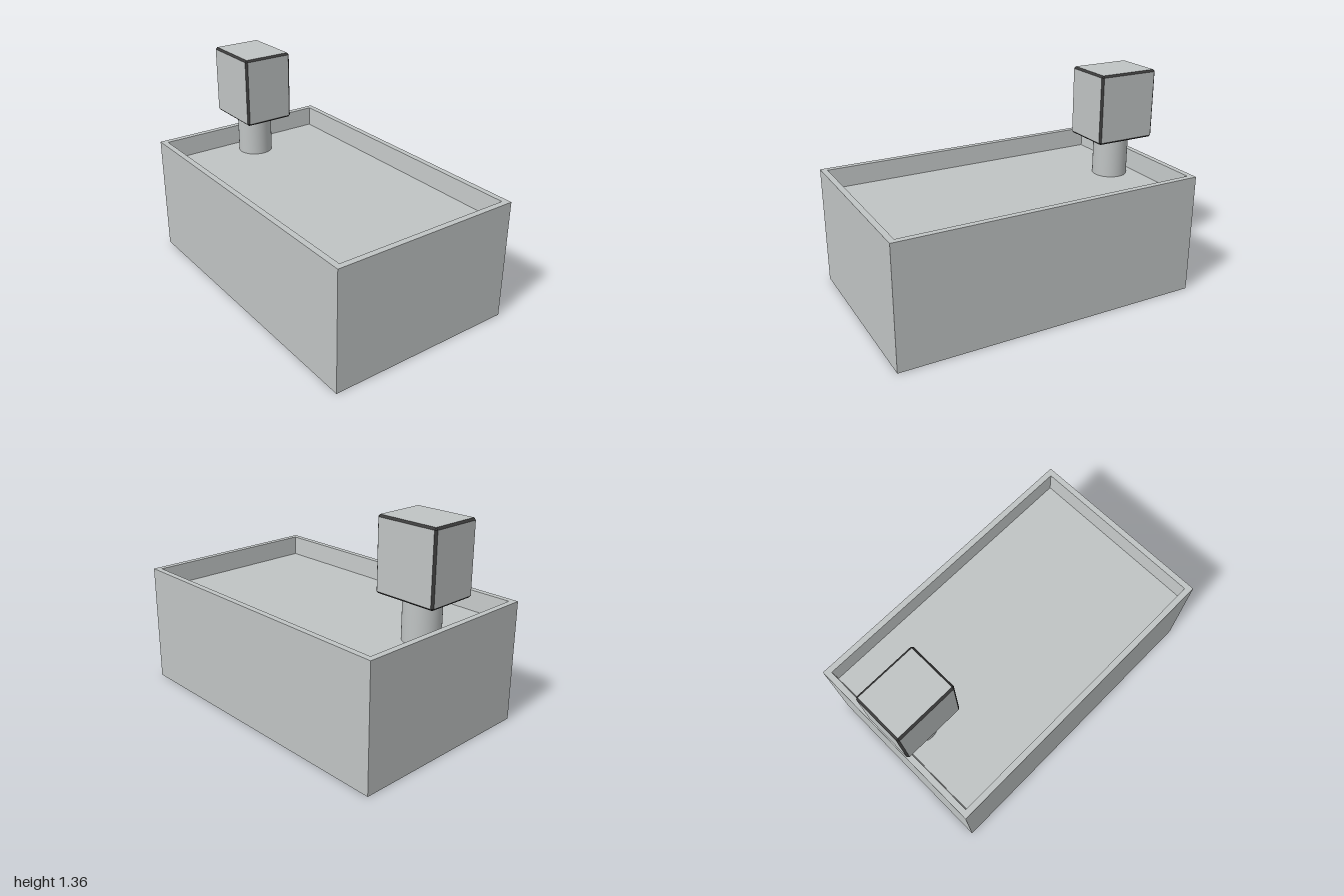
import * as THREE from 'three';
import { ConvexGeometry } from 'three/addons/geometries/ConvexGeometry.js';

// Faceted solid made by joining rectangular rings [halfX, y, halfZ], closed at both ends
function rectangularLoft(rings) {
  const corners = rings.map(([x, y, z]) => [[-x, y, z], [x, y, z], [x, y, -z], [-x, y, -z]]);
  const positions = [];
  const quad = (a, b, c, d) => positions.push(...a, ...b, ...c, ...a, ...c, ...d);
  for (let r = 0; r < rings.length - 1; r++) {
    for (let i = 0; i < 4; i++) {
      const j = (i + 1) % 4;
      quad(corners[r][i], corners[r][j], corners[r + 1][j], corners[r + 1][i]);
    }
  }
  quad(...corners[0].slice().reverse());
  quad(...corners[rings.length - 1]);
  const geometry = new THREE.BufferGeometry();
  geometry.setAttribute('position', new THREE.Float32BufferAttribute(positions, 3));
  geometry.computeVertexNormals();
  return geometry;
}

// Chamfered box: group 0 holds the six main faces, group 1 the chamfers
function chamferedBox(width, height, depth, chamfer) {
  const half = [width / 2, height / 2, depth / 2];
  const points = [];
  for (const sx of [-1, 1]) for (const sy of [-1, 1]) for (const sz of [-1, 1]) {
    for (let axis = 0; axis < 3; axis++) {
      const p = half.map((h, i) => (i === axis ? h : h - chamfer));
      points.push(new THREE.Vector3(p[0] * sx, p[1] * sy, p[2] * sz));
    }
  }
  const hull = new ConvexGeometry(points);
  const position = hull.getAttribute('position');
  const normal = hull.getAttribute('normal');
  const faces = [];
  const chamfers = [];
  for (let i = 0; i < position.count; i += 3) {
    const n = [normal.getX(i), normal.getY(i), normal.getZ(i)].map(Math.abs);
    (Math.max(...n) > 0.95 ? faces : chamfers).push(i, i + 1, i + 2);
  }
  hull.setIndex([...faces, ...chamfers]);
  hull.clearGroups();
  hull.addGroup(0, faces.length, 0);
  hull.addGroup(faces.length, chamfers.length, 1);
  return hull;
}

export function createModel() {
  const model = new THREE.Group();
  model.name = 'basinWithPost';

  const lightGrey = new THREE.MeshStandardMaterial({ color: 0xc0c4c4 });
  lightGrey.name = 'lightGrey';
  const darkGrey = new THREE.MeshStandardMaterial({ color: 0x3a3a3a });
  darkGrey.name = 'darkGrey';

  const add = (name, geometry, material, y, z) => {
    const mesh = new THREE.Mesh(geometry, material);
    mesh.name = name;
    mesh.position.set(0, y, z);
    model.add(mesh);
  };

  // Block with a shallow, slightly tapered recess in its top
  const floorY = 0.65;
  add('basin', rectangularLoft([
    [0.62, 0, 1],
    [0.62, 0.775, 1],
    [0.582, 0.775, 0.962],
    [0.57, floorY, 0.95],
  ]), lightGrey, 0, 0);

  // Round post standing on the recess floor
  const headBottom = 0.91, headTop = 1.357, postZ = -0.794;
  const postHeight = headBottom - floorY;
  add('post', new THREE.CylinderGeometry(0.113, 0.113, postHeight, 48), lightGrey,
    floorY + postHeight / 2, postZ);

  // Block head with dark chamfered edges
  add('head', chamferedBox(0.334, headTop - headBottom, 0.41, 0.0125), [lightGrey, darkGrey],
    (headTop + headBottom) / 2, -0.795);

  return model;
}
